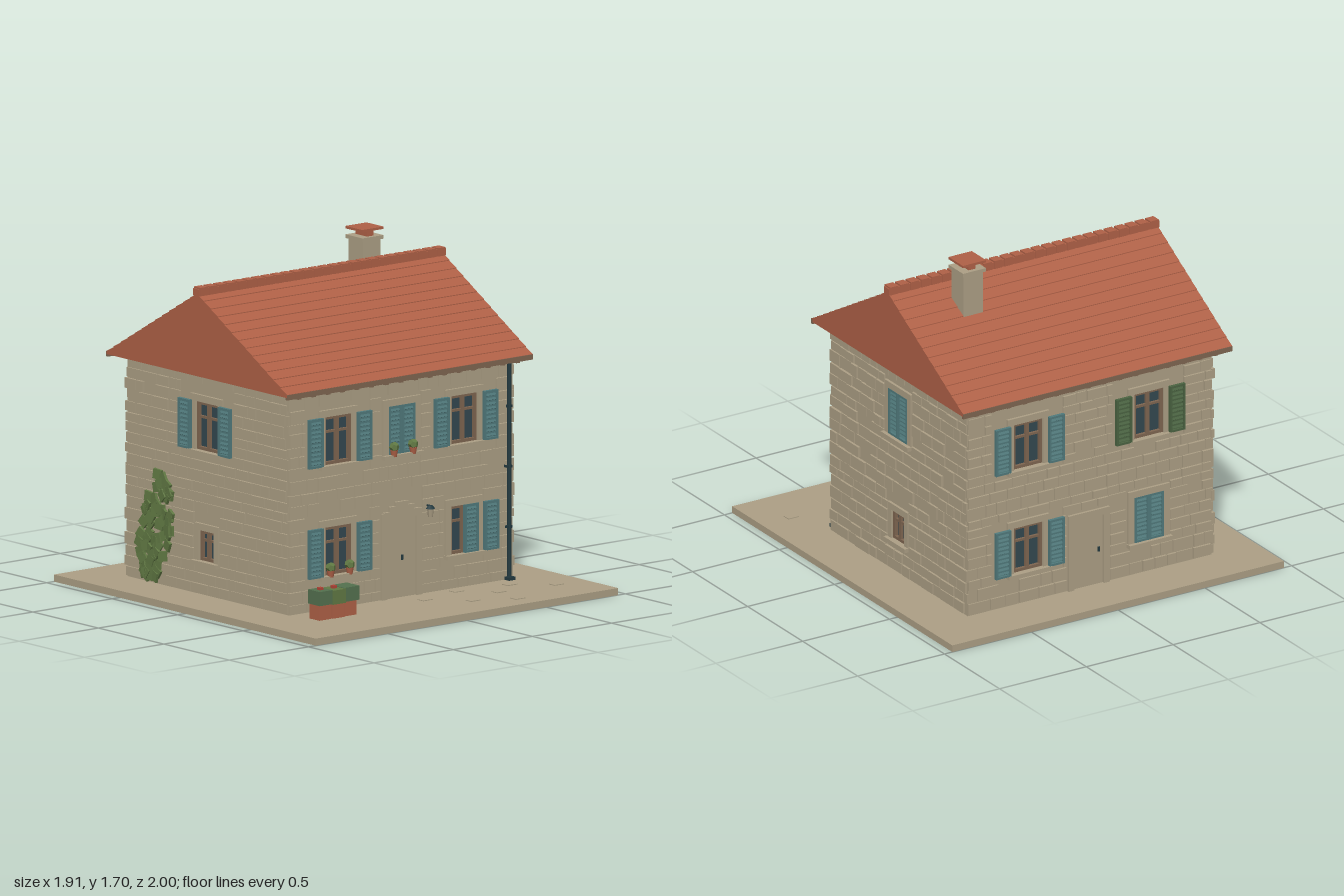
import * as THREE from 'three';
import { mergeGeometries } from 'three/addons/utils/BufferGeometryUtils.js';

const flat = (name, color) => Object.assign(new THREE.MeshStandardMaterial({ color }), { name });
const M = {
  stone: flat('limestone', 0xab9e84),
  tile: flat('terracotta', 0xae6046),
  teal: flat('tealPaint', 0x50797b),
  green: flat('greenPaint', 0x4a6341),
  glass: flat('darkGlass', 0x33474f),
  wood: flat('brownWood', 0x7e6550),
  hedge: flat('hedgeGreen', 0x53704e),
  leaf: flat('leafGreen', 0x607843),
  metal: flat('darkMetal', 0x22393f),
  flower: flat('redFlower', 0xb04436),
};

function createRandom(seed) {
  return () => (seed = (seed * 16807) % 2147483647) / 2147483647;
}
const rand = createRandom(4217);

const boxGeo = (w, h, d, x, y, z) => new THREE.BoxGeometry(w, h, d).translate(x, y, z);

function add(parent, name, geo, mat) {
  const mesh = new THREE.Mesh(geo, mat);
  mesh.name = name;
  parent.add(mesh);
  return mesh;
}
const box = (parent, name, mat, w, h, d, x, y, z) => add(parent, name, boxGeo(w, h, d, x, y, z), mat);

function group(parent, name, x = 0, y = 0, z = 0) {
  const g = new THREE.Group();
  g.name = name;
  g.position.set(x, y, z);
  parent.add(g);
  return g;
}

// Louvred shutter leaf: frame rails plus tilted slats
function shutter(parent, mat, x, y, w, h, z = 0.016) {
  const b = 0.011;
  const parts = [boxGeo(w, h, 0.006, x, y, z - 0.006)];
  for (const s of [-1, 1]) {
    parts.push(boxGeo(b, h, 0.018, x + s * (w - b) / 2, y, z));
    parts.push(boxGeo(w, b, 0.017, x, y + s * (h - b) / 2, z));
  }
  const n = Math.round(h / 0.022);
  for (let i = 1; i < n; i++) {
    const slat = new THREE.BoxGeometry(w - 2 * b, 0.012, 0.004).rotateX(-0.5);
    parts.push(slat.translate(x, y - h / 2 + (i * h) / n, z));
  }
  add(parent, 'shutter', mergeGeometries(parts), mat);
}

// Stone border and sill around an opening
function surround(parent, x, y, w, h, sill = true) {
  const b = 0.034, d = 0.026, z = 0.001;
  const parts = [boxGeo(w + 2 * b, b, d, x, y + (h + b) / 2, z)];
  for (const s of [-1, 1]) parts.push(boxGeo(b, h, d, x + s * (w + b) / 2, y, z));
  if (sill) parts.push(boxGeo(w + 2 * b + 0.01, 0.02, 0.06, x, y - h / 2 - 0.01, 0.004));
  add(parent, 'stoneSurround', mergeGeometries(parts), M.stone);
}

// Window: recessed glass, wooden frame, mullion and transom, optional shutters
function buildWindow(parent, o) {
  const { x, y, w, h, paint = M.teal } = o;
  const g = group(parent, 'window');
  surround(g, x, y, w, h);
  if (o.closed) {
    for (const s of [-1, 1]) shutter(g, paint, x + s * w / 4, y, w / 2 - 0.002, h, 0.006);
    return;
  }
  box(g, 'glass', M.glass, w, h, 0.006, x, y, -0.018);
  const f = 0.015;
  const parts = [boxGeo(0.02, h, 0.018, x, y, -0.008), boxGeo(w, 0.012, 0.014, x, y + h * 0.18, -0.009)];
  for (const s of [-1, 1]) {
    parts.push(boxGeo(f, h, 0.02, x + s * (w - f) / 2, y, -0.008));
    parts.push(boxGeo(w, f, 0.019, x, y + s * (h - f) / 2, -0.008));
  }
  add(g, 'windowFrame', mergeGeometries(parts), M.wood);
  if (o.shutters) for (const s of [-1, 1]) shutter(g, paint, x + s * (w / 2 + 0.069), y, 0.088, h + 0.004, 0.023);
  if (o.halfClosed) shutter(g, paint, x + w / 4, y, w / 2, h, 0.01);
}

// Panelled door with glazed lights at the top
function buildDoor(parent, o) {
  const { x, y, w, h, leaves } = o;
  const g = group(parent, 'door');
  surround(g, x, y, w, h, false);
  box(g, 'doorPanel', M.wood, w, h, 0.014, x, y, -0.015);
  const lw = w / leaves;
  for (let i = 0; i < leaves; i++) {
    const cx = x - w / 2 + lw * (i + 0.5);
    box(g, 'doorLight', M.glass, lw * 0.66, 0.045, 0.004, cx, y + h / 2 - 0.037, -0.007);
    for (const [py, ph] of [[0.02, 0.13], [-0.115, 0.09]])
      box(g, 'doorMoulding', M.wood, lw * 0.66, ph, 0.006, cx, y + py, -0.007);
  }
  box(g, 'doorHandle', M.metal, 0.01, 0.025, 0.014, x + (leaves > 1 ? 0.008 : w * 0.36), y, 0);
}

// Area kept free of rubble stones: [left, right, bottom, top]
function clearance(o) {
  const side = o.shutters ? 0.118 : 0.038;
  return [o.x - o.w / 2 - side, o.x + o.w / 2 + side, o.y - o.h / 2 - 0.024, o.y + o.h / 2 + 0.038 + (o.arch ? 0.07 : 0)];
}

const Y0 = 0.035, Y1 = 1.147;

// One wall with cut openings, coursed rubble stones and its windows and doors
function facade(house, name, halfWidth, dist, angle, openings, skip) {
  const g = group(house, name, Math.sin(angle) * dist, 0, Math.cos(angle) * dist);
  g.rotation.y = angle;
  const rect = (P, l, r, b, t) => new P([[l, b], [r, b], [r, t], [l, t]].map(p => new THREE.Vector2(...p)));
  const shape = rect(THREE.Shape, -halfWidth, halfWidth, Y0, Y1);
  for (const o of openings) shape.holes.push(rect(THREE.Path, o.x - o.w / 2, o.x + o.w / 2, o.y - o.h / 2 - 0.0005, o.y + o.h / 2));
  add(g, 'wall', new THREE.ExtrudeGeometry(shape, { depth: 0.05, bevelEnabled: false }).translate(0, 0, -0.05), M.stone);

  const blocked = openings.map(clearance);
  const stones = [];
  for (let y = Y0 + 0.004, row = 0; y < Y1 - 0.03; row++) {
    const rh = Math.min(0.045 + rand() * 0.025, Y1 - y);
    const zones = blocked.filter(b => b[2] < y + rh && b[3] > y);
    let x = -halfWidth - (row % 2 ? 0.009 : 0);
    while (x < halfWidth - 0.02) {
      const hit = zones.find(b => b[0] <= x + 0.001 && b[1] > x);
      if (hit) { x = hit[1] + 0.001; continue; }
      let end = Math.min(x + 0.055 + rand() * 0.075, halfWidth + (row % 2 ? 0.009 : 0));
      for (const b of zones) if (b[0] > x && b[0] < end) end = b[0];
      const w = end - x - 0.006;
      if (w > 0.015 && rand() > skip) {
        const d = 0.012 + rand() * 0.008;
        stones.push(boxGeo(w, rh - 0.007, d, x + w / 2, y + rh / 2, d / 2 - 0.006));
      }
      x = end;
    }
    y += rh;
  }
  add(g, 'rubbleStones', mergeGeometries(stones), M.stone);
  for (const o of openings) (o.leaves ? buildDoor : buildWindow)(g, o);
  return g;
}

function pottedPlant(parent, x, y, z) {
  const g = group(parent, 'pottedPlant', x, y, z);
  add(g, 'pot', new THREE.CylinderGeometry(0.02, 0.014, 0.034, 10).translate(0, 0.017, 0), M.tile);
  add(g, 'foliage', new THREE.DodecahedronGeometry(0.026).translate(0, 0.048, 0), M.leaf);
}

function buildRoof(house) {
  const g = group(house, 'roof');
  const eave = 0.69, low = 1.148, high = 1.545, n = 13, lap = 0.004;
  // Stepped tile courses on both slopes of a closed gable prism
  const slope = [];
  for (let i = 0; i < n; i++) {
    const at = t => [eave * (1 - t), low + (high - low) * t];
    const [a, b] = [at(i / n), at((i + 1) / n)];
    slope.push([a[0], a[1] + lap], [b[0], b[1]]);
  }
  const mirrored = slope.map(([x, y]) => [-x, y]).reverse().slice(1);
  const pts = [[eave, low - 0.012], ...slope, ...mirrored, [-eave, low - 0.012]];
  const prism = new THREE.ExtrudeGeometry(new THREE.Shape(pts.map(p => new THREE.Vector2(...p))), { depth: 1.55, bevelEnabled: false });
  add(g, 'tiledRoof', prism.translate(0, 0, -0.775).rotateY(Math.PI / 2), M.tile);
  // Eave boards and rafter tails
  for (const s of [-1, 1]) {
    box(g, 'eaveBoard', M.wood, 1.55, 0.026, 0.015, 0, 1.138, s * 0.685);
    for (let i = 0; i < 16; i++) box(g, 'rafterTail', M.wood, 0.022, 0.022, 0.08, -0.69 + i * 0.092, 1.128, s * 0.642);
  }
  // Overlapping ridge tiles
  for (let i = 0; i < 26; i++) {
    const x = -0.75 + i * 0.06;
    box(g, 'ridgeTile', M.tile, 0.047, 0.042, 0.05, x, 1.557, 0);
    box(g, 'ridgeJoint', M.tile, 0.06, 0.034, 0.044, x, 1.553, 0);
  }
  // Chimney
  const c = group(g, 'chimney', 0.415, 0, -0.16);
  box(c, 'chimneyStack', M.stone, 0.112, 0.26, 0.11, 0, 1.515, 0);
  box(c, 'chimneyLedge', M.stone, 0.132, 0.018, 0.132, 0, 1.648, 0);
  box(c, 'chimneyFlue', M.tile, 0.04, 0.036, 0.088, 0, 1.673, 0);
  box(c, 'chimneyCap', M.tile, 0.134, 0.012, 0.13, 0, 1.693, 0);
}

export function createModel() {
  const model = new THREE.Group();
  model.name = 'stoneHouse';
  box(model, 'groundSlab', M.stone, 1.91, Y0, 2, 0, Y0 / 2, 0);
  const house = group(model, 'house', 0, 0, -0.125);
  const up = 0.873, down = 0.325;
  const win = (x, y, extra = {}) => ({ x, y, w: 0.17, h: 0.24, ...extra });
  const small = { x: 0, y: 0.28, w: 0.115, h: 0.15 };

  const front = facade(house, 'frontFacade', 0.702, 0.617, 0, [
    win(-0.4, up, { shutters: true }), win(0, up, { closed: true }), win(0.395, up, { shutters: true }),
    win(-0.4, down, { shutters: true }), { ...win(0.395, down), halfClosed: true },
    { x: 0, y: 0.2325, w: 0.185, h: 0.395, leaves: 2, arch: true },
  ], 0.1);
  facade(house, 'backFacade', 0.702, 0.617, Math.PI, [
    win(-0.36, up, { shutters: true }), win(0.335, up, { shutters: true, paint: M.green }),
    win(-0.36, down, { shutters: true }), win(0.335, down, { closed: true }),
    { x: -0.01, y: 0.2175, w: 0.17, h: 0.365, leaves: 1 },
  ], 0.05);
  facade(house, 'leftFacade', 0.617, 0.702, Math.PI / 2, [win(0, up, { closed: true }), small], 0.03);
  const ivyWall = facade(house, 'rightFacade', 0.617, 0.702, -Math.PI / 2, [win(0, up, { shutters: true }), small], 0.03);

  // Front extras: lone open shutter, stepped arch, lantern, sill plants
  shutter(front, M.teal, 0.555, down, 0.088, 0.244, 0.023);
  [[0.23, 0.455], [0.155, 0.48], [0.08, 0.5]].forEach(([w, y]) => box(front, 'archStone', M.stone, w, 0.026, 0.026, 0, y, 0.002));
  const lamp = group(front, 'lantern', 0.158, 0.44, 0.038);
  add(lamp, 'lampBody', new THREE.CylinderGeometry(0.017, 0.012, 0.042, 6), M.stone);
  add(lamp, 'lampCap', new THREE.CylinderGeometry(0.01, 0.024, 0.016, 6).translate(0, 0.028, 0), M.metal);
  box(lamp, 'lampArm', M.metal, 0.008, 0.008, 0.045, 0, 0.033, -0.02);
  for (const x of [-0.06, 0.06]) pottedPlant(front, x, 0.744, 0.024);
  for (const x of [-0.46, -0.34]) pottedPlant(front, x, 0.198, 0.024);

  // Drainpipe with brackets and foot
  add(front, 'drainpipe', new THREE.CylinderGeometry(0.011, 0.011, 1.09, 10).translate(0.67, 0.585, 0.02), M.metal);
  for (const y of [0.3, 0.6, 0.9]) box(front, 'pipeBracket', M.metal, 0.03, 0.012, 0.03, 0.67, y, 0.013);
  box(front, 'pipeFoot', M.metal, 0.04, 0.016, 0.035, 0.668, 0.045, 0.028);

  // Ivy climbing the wall near the back corner
  const leaves = [];
  for (let i = 0; i < 70; i++) {
    const t = rand();
    const spread = 0.04 + 0.09 * Math.sin(Math.PI * Math.min(1, t * 0.8 + 0.15));
    const leaf = new THREE.BoxGeometry(0.05, 0.05, 0.014).rotateZ(rand() * 3).rotateY(rand() * 0.5 - 0.25);
    leaves.push(leaf.translate(-0.43 + t * 0.1 + (rand() - 0.5) * 1.7 * spread, 0.07 + t * 0.52, 0.014 + rand() * 0.008));
  }
  add(ivyWall, 'ivy', mergeGeometries(leaves), M.leaf);

  buildRoof(house);

  // Row of planters by the front wall
  [[-0.632, 0.645, 0.08, 0.145], [-0.55, 0.647, 0.082, 0.142], [-0.468, 0.64, 0.096, 0.145]].forEach(([x, z, w, y], i) => {
    const p = group(model, 'planter', x, 0, z);
    box(p, 'planterPot', M.tile, 0.074, 0.078, 0.076, 0, 0.073, 0);
    box(p, 'shrub', i === 1 ? M.leaf : M.hedge, w, 0.07, 0.09 + 0.004 * i, 0, y - 0.001, 0);
    if (i < 2) box(p, 'flower', M.flower, 0.022, 0.014, 0.022, 0, 0.184, 0);
  });

  // Scattered paving stones
  [[0.05, 0.62], [0.3, 0.56], [0.22, 0.78], [0.45, 0.7], [0.6, 0.6], [0.42, 0.88], [0.78, 0.74]].forEach(([x, z]) =>
    box(model, 'pavingStone', M.stone, 0.06, 0.004, 0.045, x, Y0 + 0.002, z));
  return model;
}
